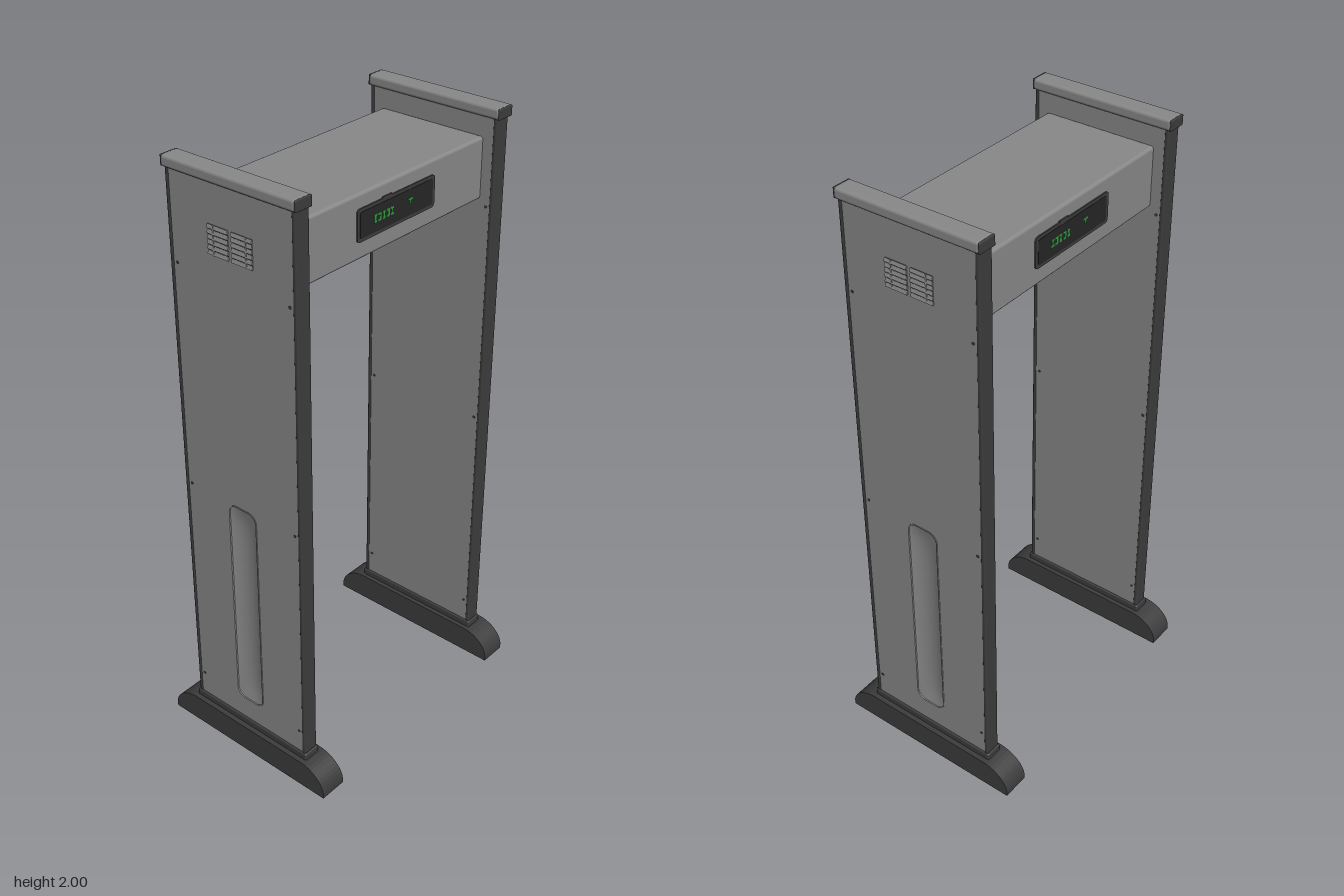
import * as THREE from 'three';
import { RoundedBoxGeometry } from 'three/addons/geometries/RoundedBoxGeometry.js';

const mat = (name, color) => {
  const m = new THREE.MeshStandardMaterial({ color });
  m.name = name;
  return m;
};

export function createModel() {
  const grey = mat('panel grey', 0x888888);
  const dark = mat('frame charcoal', 0x3c3c3c);
  const black = mat('screen black', 0x262626);
  const green = mat('display green', 0x2f9a3c);

  const add = (parent, name, geo, material, x = 0, y = 0, z = 0) => {
    const m = new THREE.Mesh(geo, material);
    m.name = name;
    m.position.set(x, y, z);
    parent.add(m);
    return m;
  };
  const box = (w, h, d) => new THREE.BoxGeometry(w, h, d);
  const rbox = (w, h, d, r) => new RoundedBoxGeometry(w, h, d, 3, r);

  // Rounded rectangle outline centred on (cx, cy)
  const roundRect = (target, cx, cy, w, h, r) => {
    const a = w / 2 - r, b = h / 2 - r;
    target.absarc(cx + a, cy + b, r, 0, Math.PI / 2);
    target.absarc(cx - a, cy + b, r, Math.PI / 2, Math.PI);
    target.absarc(cx - a, cy - b, r, Math.PI, Math.PI * 1.5);
    target.absarc(cx + a, cy - b, r, Math.PI * 1.5, Math.PI * 2);
    target.closePath();
    return target;
  };
  // Extrude a (z, y) outline along x
  const extrudeX = (shape, depth) => new THREE.ExtrudeGeometry(shape,
    { depth, bevelEnabled: false, curveSegments: 10 }).rotateY(Math.PI / 2);

  // One side pillar, outer face towards +x
  function pillar() {
    const g = new THREE.Group();
    const X = 0.432, OUT = 0.457;

    // Foot with rounded ends
    const foot = new THREE.Shape();
    foot.moveTo(-0.33, 0);
    foot.lineTo(0.33, 0);
    foot.lineTo(0.33, 0.02);
    foot.bezierCurveTo(0.325, 0.06, 0.285, 0.093, 0.235, 0.095);
    foot.lineTo(-0.235, 0.095);
    foot.bezierCurveTo(-0.285, 0.093, -0.325, 0.06, -0.33, 0.02);
    add(g, 'foot', extrudeX(foot, 0.094), dark, 0.386);
    add(g, 'footCollar', rbox(0.062, 0.03, 0.484, 0.006), dark, X, 0.103);

    // Inner panel and dark edge strips
    add(g, 'innerPanel', box(0.03, 1.86, 0.452), grey, 0.422, 1.04);
    for (const s of [-1, 1])
      add(g, 'edgeStrip', rbox(0.054, 1.87, 0.014, 0.005), dark, X, 1.04, s * 0.229);

    // Outer panel with a long hand recess
    const face = new THREE.Shape();
    face.moveTo(-0.224, 0.11);
    face.lineTo(0.224, 0.11);
    face.lineTo(0.224, 1.97);
    face.lineTo(-0.224, 1.97);
    face.closePath();
    face.holes.push(roundRect(new THREE.Path(), 0, 0.575, 0.108, 0.75, 0.03));
    add(g, 'outerPanel', extrudeX(face, 0.02), grey, OUT - 0.02);
    const trough = new THREE.PlaneGeometry(0.116, 0.758, 12, 24);
    const p = trough.attributes.position;
    for (let i = 0; i < p.count; i++) {
      const u = p.getX(i) / 0.058, v = p.getY(i) / 0.379;
      p.setZ(i, -0.002 - 0.015 * (1 - u * u) * (1 - v ** 8));
    }
    trough.computeVertexNormals();
    add(g, 'handRecess', trough.rotateY(Math.PI / 2), grey, OUT, 0.575);
    const rim = roundRect(new THREE.Shape(), 0, 0.575, 0.114, 0.756, 0.033);
    rim.holes.push(roundRect(new THREE.Path(), 0, 0.575, 0.107, 0.749, 0.03));
    add(g, 'recessRim', extrudeX(rim, 0.003), grey, OUT - 0.001);

    // Louvred vent in two halves
    for (const s of [-1, 1]) {
      add(g, 'ventBack', box(0.004, 0.088, 0.074), dark, OUT, 1.8, s * 0.044);
      for (let i = 0; i < 6; i++) {
        const slat = add(g, 'ventSlat', box(0.005, 0.0115, 0.076), grey,
          OUT + 0.002, 1.762 + i * 0.0152, s * 0.044);
        slat.rotation.z = 0.3;
      }
      add(g, 'ventBar', box(0.005, 0.088, 0.005), grey, OUT + 0.003, 1.8, s * 0.06);
    }

    // Panel screws on both faces
    const screw = new THREE.CylinderGeometry(0.005, 0.005, 0.003, 10).rotateZ(Math.PI / 2);
    for (const s of [-1, 1])
      for (const y of [0.2, 0.955, 1.69]) {
        add(g, 'screw', screw, dark, OUT, y, s * 0.21);
        add(g, 'screw', screw, dark, 0.407, y, s * 0.21);
      }

    // Top cap with dark ends
    add(g, 'cap', rbox(0.066, 0.036, 0.486, 0.01), grey, 0.434, 1.982);
    for (const s of [-1, 1])
      add(g, 'capEnd', rbox(0.062, 0.033, 0.008, 0.003), dark, 0.434, 1.982, s * 0.241);
    return g;
  }

  // Display on the beam, facing +z
  function display() {
    const g = new THREE.Group();
    const plate = (w, h, r, d) => new THREE.ExtrudeGeometry(
      roundRect(new THREE.Shape(), 0, 0, w, h, r), { depth: d, bevelEnabled: false });
    add(g, 'displayFrame', plate(0.34, 0.098, 0.012, 0.006), dark, 0.003, 1.813, 0.188);
    add(g, 'displayScreen', plate(0.318, 0.078, 0.006, 0.002), black, 0.003, 1.813, 0.193);
    add(g, 'displayTab', box(0.04, 0.006, 0.006), dark, -0.04, 1.863, 0.191);
    // Lit indicator bars
    for (let i = 0; i < 5; i++) {
      const x = -0.092 + i * 0.018;
      for (const dy of [-0.009, 0.009])
        add(g, 'indicatorBar', box(0.012, 0.007, 0.002), green, x, 1.815 + dy, 0.195);
      add(g, 'indicatorBar', box(0.006, 0.02, 0.002), green, x + (i % 2) * 0.004, 1.815, 0.195);
    }
    add(g, 'indicatorDot', box(0.02, 0.006, 0.002), green, 0.06, 1.824, 0.195);
    add(g, 'indicatorDot', box(0.006, 0.014, 0.002), green, 0.06, 1.818, 0.195);
    return g;
  }

  const model = new THREE.Group();
  model.name = 'walkThroughDetector';

  add(model, 'crossBeam', rbox(0.82, 0.195, 0.38, 0.01), grey, 0, 1.808);

  [['left', 0], ['right', Math.PI]].forEach(([side, turn]) => {
    const g = pillar();
    g.name = side + 'Pillar';
    g.rotation.y = turn;
    model.add(g);
  });
  [['front', 0], ['back', Math.PI]].forEach(([side, turn]) => {
    const g = display();
    g.name = side + 'Display';
    g.rotation.y = turn;
    model.add(g);
  });
  return model;
}
